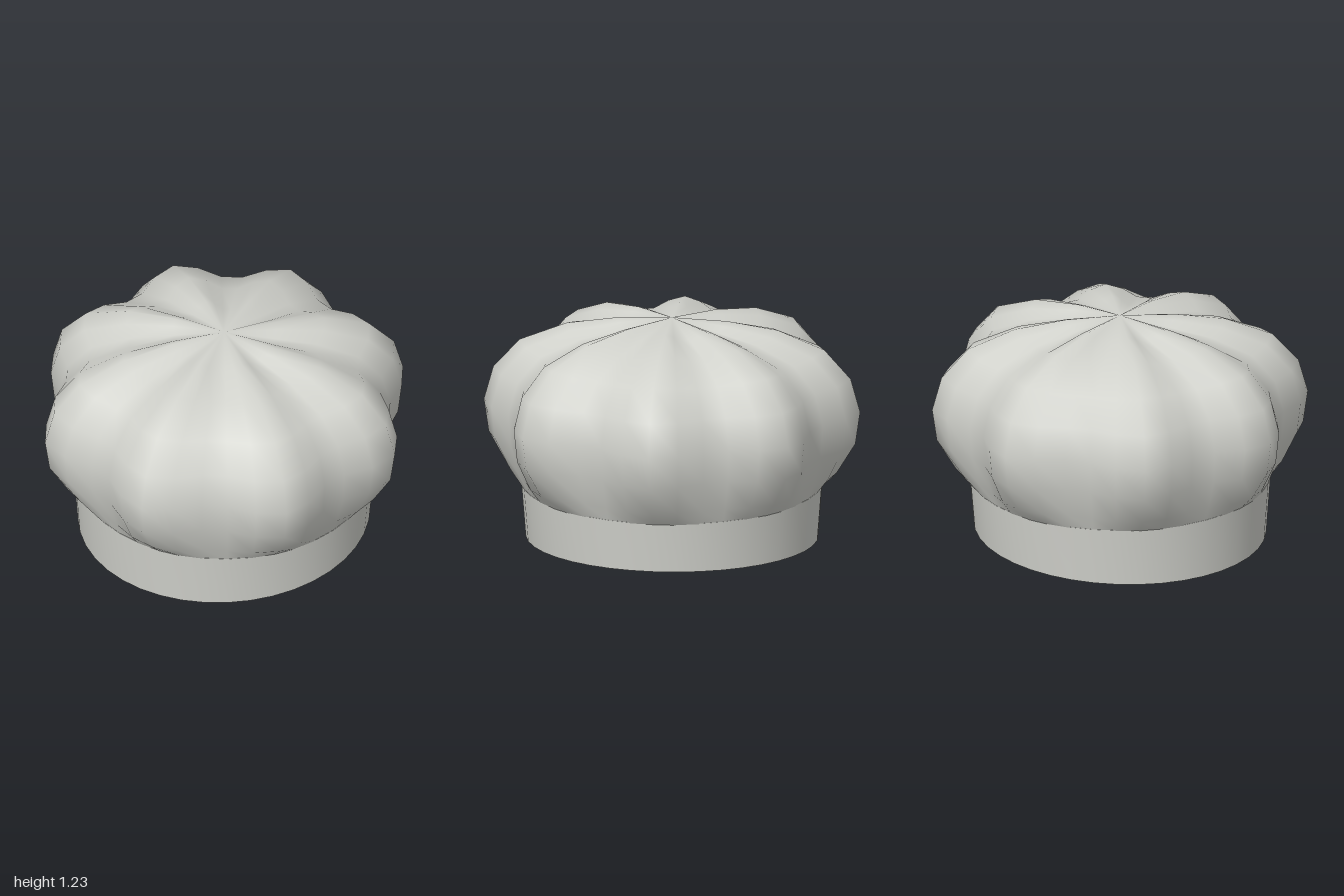
import * as THREE from 'three';
import { mergeVertices, toCreasedNormals } from 'three/addons/utils/BufferGeometryUtils.js';

const LOBES = 8, SEGMENTS = 40;

// Crown rows from band to pole: ridge radius, ridge height, valley inset, valley drop
const ROWS = [
  [0.79, 0.32, 0, 0],
  [0.875, 0.405, 0.06, 0],
  [0.975, 0.57, 0.12, 0],
  [1.0, 0.745, 0.135, 0],
  [0.95, 0.925, 0.13, 0.015],
  [0.81, 1.08, 0.11, 0.035],
  [0.56, 1.18, 0.07, 0.05],
  [0.29, 1.22, 0.03, 0.045],
  [0, 1.23, 0, 0],
];

// Smooth puffed crown with radial lobes
function crownGeometry() {
  const geo = new THREE.LatheGeometry(ROWS.map(([r, y]) => new THREE.Vector2(r, y)), SEGMENTS);
  const pos = geo.attributes.position;
  for (let i = 0; i < pos.count; i++) {
    const [r, y, inset, drop] = ROWS[i % ROWS.length];
    const angle = (Math.floor(i / ROWS.length) / SEGMENTS) * Math.PI * 2;
    const valley = (1 - Math.cos(LOBES * angle)) / 2;
    const radius = r - inset * valley;
    pos.setXYZ(i, Math.sin(angle) * radius, y - drop * valley, Math.cos(angle) * radius);
  }
  // Weld the seam and pole so the shading runs through
  geo.deleteAttribute('uv');
  geo.deleteAttribute('normal');
  const welded = mergeVertices(geo, 1e-4);
  welded.computeVertexNormals();
  return welded;
}

// Thick headband whose lower rim slopes up towards +x
function bandGeometry() {
  const profile = [[0.69, 0.33], [0.69, 0], [0.772, 0], [0.795, 0.33], [0.69, 0.33]];
  const geo = new THREE.LatheGeometry(profile.map(([r, y]) => new THREE.Vector2(r, y)), SEGMENTS);
  const pos = geo.attributes.position;
  for (let i = 0; i < pos.count; i++) {
    if (pos.getY(i) < 0.1) pos.setY(i, 0.03 + 0.0388 * pos.getX(i));
  }
  geo.deleteAttribute('uv');
  geo.deleteAttribute('normal');
  return toCreasedNormals(geo, Math.PI / 6);
}

export function createModel() {
  const cloth = new THREE.MeshStandardMaterial({ color: 0xd0d1cb, side: THREE.DoubleSide });
  cloth.name = 'offWhiteCloth';

  const hat = new THREE.Group();
  hat.name = 'hat';
  const parts = { puffedCrown: crownGeometry(), headband: bandGeometry() };
  for (const [name, geo] of Object.entries(parts)) {
    const mesh = new THREE.Mesh(geo, cloth);
    mesh.name = name;
    hat.add(mesh);
  }
  return hat;
}
